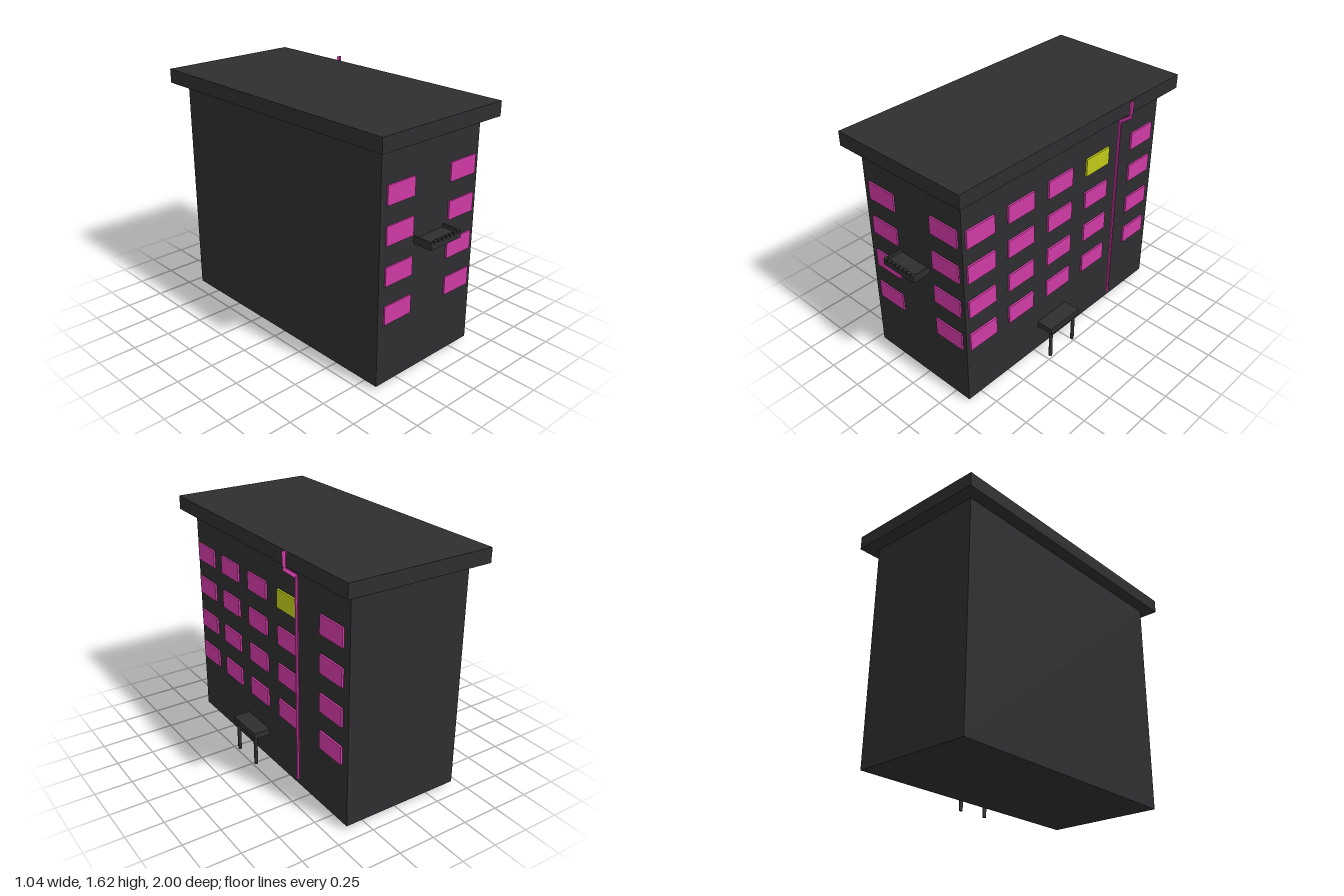
import * as THREE from 'three';

const dark = new THREE.MeshStandardMaterial({ color: 0x2e2e30 });
const pink = new THREE.MeshStandardMaterial({ color: 0xcf3aa4 });
const yellow = new THREE.MeshStandardMaterial({ color: 0xbfca18 });

// Box given by its limits on each axis
function box(parent, name, material, [x0, x1], [y0, y1], [z0, z1]) {
  const mesh = new THREE.Mesh(new THREE.BoxGeometry(x1 - x0, y1 - y0, z1 - z0), material);
  mesh.position.set((x0 + x1) / 2, (y0 + y1) / 2, (z0 + z1) / 2);
  mesh.name = name;
  parent.add(mesh);
  return mesh;
}

function group(parent, name) {
  const g = new THREE.Group();
  g.name = name;
  parent.add(g);
  return g;
}

// Eight-sided pipe swept through mitred rings, each set by its left and right edge
function pipeGeometry(rings, halfDepth, z) {
  const sides = 8, positions = [], index = [];
  for (const [lx, ly, rx, ry] of rings) {
    for (let i = 0; i < sides; i++) {
      const a = (i / sides) * Math.PI * 2, t = (1 + Math.cos(a)) / 2;
      positions.push(lx + (rx - lx) * t, ly + (ry - ly) * t, z - halfDepth * Math.sin(a));
    }
  }
  for (let r = 0; r < rings.length - 1; r++) {
    for (let i = 0; i < sides; i++) {
      const a = r * sides + i, b = r * sides + (i + 1) % sides;
      index.push(a, a + sides, b, b, a + sides, b + sides);
    }
  }
  const last = (rings.length - 1) * sides;
  for (let i = 1; i < sides - 1; i++) {
    index.push(0, i, i + 1, last, last + i + 1, last + i);
  }
  const geometry = new THREE.BufferGeometry();
  geometry.setAttribute('position', new THREE.Float32BufferAttribute(positions, 3));
  geometry.setIndex(index);
  const flat = geometry.toNonIndexed();
  flat.computeVertexNormals();
  return flat;
}

export function createModel() {
  const model = new THREE.Group();
  model.name = 'apartmentBlock';

  // Main volume and overhanging roof slab
  box(model, 'walls', dark, [-0.44, 0.383], [0.027, 1.52], [-0.915, 0.87]);
  box(model, 'roof', dark, [-0.522, 0.466], [1.517, 1.61], [-1, 0.95]);

  // Four storeys of windows on the front and right side
  const windows = group(model, 'windows');
  const floors = [0.43, 0.68, 0.932, 1.175];
  const sideColumns = [0.735, 0.405, 0.058, -0.295, -0.75];
  floors.forEach((y, floor) => {
    for (const x of [-0.284, 0.242]) {
      box(windows, 'frontWindow', pink, [x - 0.11, x + 0.11], [y, y + 0.12], [0.86, 0.88]);
    }
    sideColumns.forEach((z, column) => {
      const lit = floor === 3 && column === 3;
      box(windows, lit ? 'litWindow' : 'sideWindow', lit ? yellow : pink,
        [0.373, 0.396], [y, y + 0.12], [z - 0.11, z + 0.11]);
    });
  });

  // Balcony tray with a toothed front rail
  const balcony = group(model, 'balcony');
  box(balcony, 'balconyFloor', dark, [-0.16, 0.102], [0.873, 0.9], [0.865, 0.985]);
  for (const x of [-0.16, 0.09]) {
    box(balcony, 'balconySide', dark, [x, x + 0.012], [0.9, 0.92], [0.865, 0.985]);
  }
  box(balcony, 'balconyFront', dark, [-0.16, 0.102], [0.873, 0.905], [0.98, 1]);
  for (let i = 0; i < 8; i++) {
    const x = -0.16 + i * 0.0337;
    box(balcony, 'balconyTooth', dark, [x, x + 0.026], [0.905, 0.92], [0.98, 1]);
  }

  // Entrance canopy on two posts
  const porch = group(model, 'porch');
  box(porch, 'canopy', dark, [0.375, 0.5], [0.208, 0.25], [-0.04, 0.236]);
  for (const z of [-0.011, 0.212]) {
    const post = new THREE.Mesh(new THREE.CylinderGeometry(0.0125, 0.0125, 0.22, 12), dark);
    post.position.set(0.477, 0.11, z);
    post.name = 'porchPost';
    porch.add(post);
  }

  // Drainpipe bending out around the roof edge
  const pipe = new THREE.Mesh(pipeGeometry([
    [0.413, 0.12, 0.437, 0.12],
    [0.413, 1.475, 0.437, 1.455],
    [0.488, 1.53, 0.514, 1.515],
    [0.485, 1.625, 0.519, 1.625],
  ], 0.01, -0.455), pink);
  pipe.name = 'drainpipe';
  model.add(pipe);

  return model;
}
